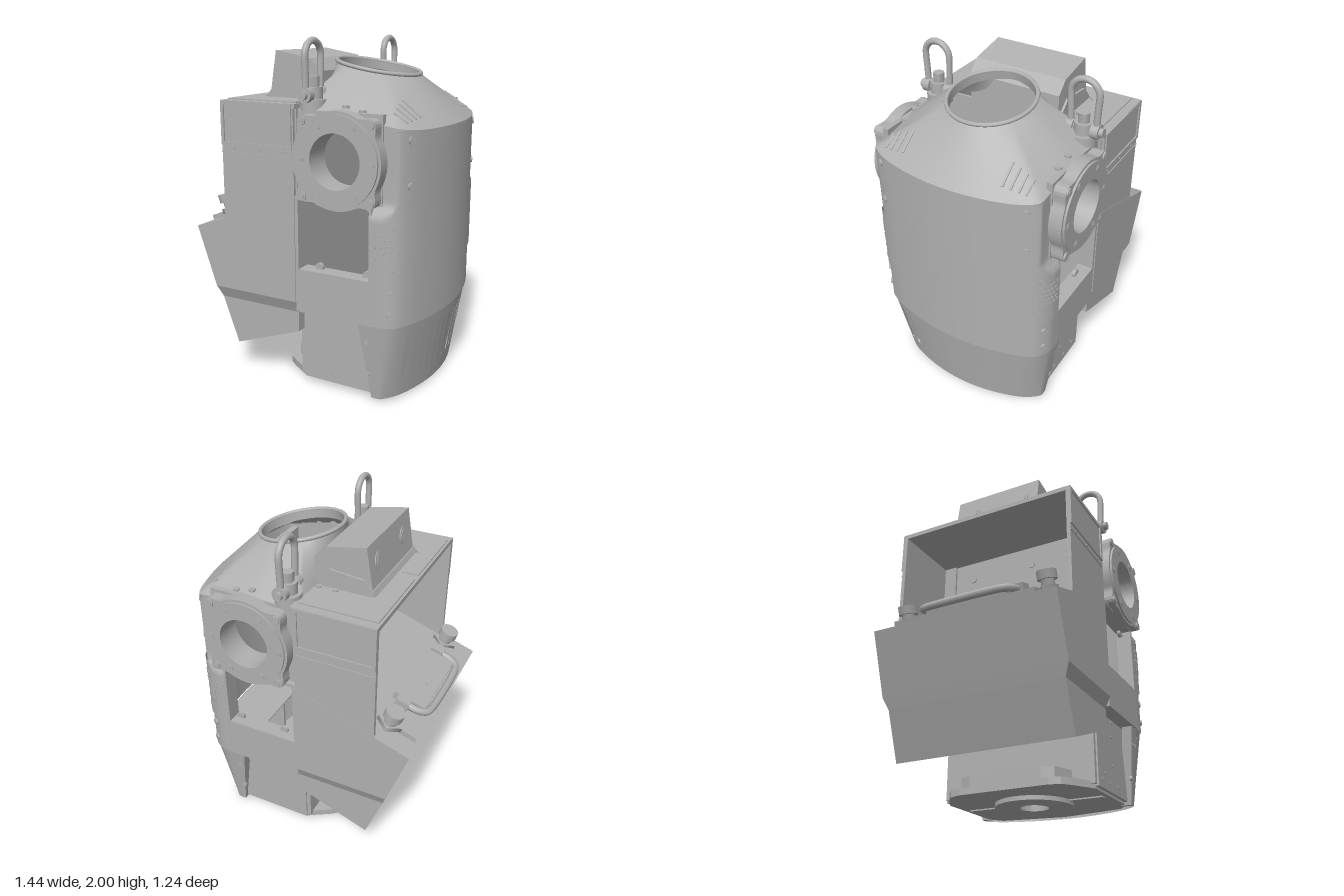
import * as THREE from 'three';
import { ConvexGeometry } from 'three/addons/geometries/ConvexGeometry.js';

const V = (x, y, z) => new THREE.Vector3(x, y, z);
const SIDES = [1, -1];

export function createModel() {
  const root = new THREE.Group();
  const shell = new THREE.MeshStandardMaterial({ name: 'shell grey', color: 0xb0b0b0, side: THREE.DoubleSide });

  const add = (name, geo, parent = root) => {
    const m = new THREE.Mesh(geo, shell);
    m.name = name;
    parent.add(m);
    return m;
  };
  const box = (name, x0, x1, y0, y1, z0, z1, parent = root) => {
    const m = add(name, new THREE.BoxGeometry(x1 - x0, y1 - y0, Math.abs(z1 - z0)), parent);
    m.position.set((x0 + x1) / 2, (y0 + y1) / 2, (z0 + z1) / 2);
    return m;
  };
  const poly = pts => new THREE.Shape(pts.map(p => new THREE.Vector2(...p)));
  const rect = (x0, x1, y0, y1) => poly([[x0, y0], [x1, y0], [x1, y1], [x0, y1]]);
  const circle = (x, y, r) => new THREE.Shape().absarc(x, y, r, 0, Math.PI * 2);
  const extrude = (shape, depth, holes) => {
    shape.holes.push(...holes);
    return new THREE.ExtrudeGeometry(shape, { depth, bevelEnabled: false, curveSegments: 40 });
  };
  // side-on outline pushed along z
  const slab = (name, shape, z0, z1, holes = []) =>
    add(name, extrude(shape, Math.abs(z1 - z0), holes).translate(0, 0, Math.min(z0, z1)));
  // plan outline (x, z) pushed along y
  const plan = (name, shape, y0, y1, holes = []) =>
    add(name, extrude(shape, y1 - y0, holes).rotateX(Math.PI / 2).translate(0, y1, 0));
  const disc = (name, p, n, r, h, parent = root, seg = 16) => {
    const m = add(name, new THREE.CylinderGeometry(r, r, h, seg), parent);
    m.position.copy(p);
    m.quaternion.setFromUnitVectors(V(0, 1, 0), n.clone().normalize());
    return m;
  };
  const screw = (p, n, r = 0.016) => {
    disc('screw', p, n, r, 0.014);
    disc('screwSocket', p.clone().addScaledVector(n, 0.006), n, r * 0.55, 0.006, root, 6);
  };
  const loft = (rows, skip = () => false) => {
    const n = rows[0].length, idx = [];
    for (let j = 0; j < rows.length - 1; j++)
      for (let i = 0; i < n - 1; i++) {
        if (skip(i, j)) continue;
        const a = j * n + i;
        idx.push(a, a + 1, a + 1 + n, a, a + 1 + n, a + n);
      }
    const g = new THREE.BufferGeometry().setFromPoints(rows.flat());
    g.setIndex(idx);
    g.computeVertexNormals();
    return g;
  };

  // chest: bowed plan section, flattened beside the arm flanges, narrowed at the skirt
  const half = [[0.44, 0.57], [0.52, 0.562], [0.585, 0.525], [0.63, 0.45], [0.67, 0.32], [0.7, 0.16]];
  const bow = new THREE.CatmullRomCurve3([
    ...half.map(([x, z]) => V(x, 0, z)), V(0.71, 0, 0),
    ...half.slice().reverse().map(([x, z]) => V(x, 0, -z))]);
  const chestPoint = (u, y, out = 0) => {
    const p = bow.getPoint(u), t = bow.getTangent(u);
    p.x += -t.z * out;
    p.z += t.x * out;
    const k = Math.max(0, (0.48 - y) / 0.46);
    const limit = 0.585 - 0.06 * THREE.MathUtils.smoothstep(y, 1.06, 1.17);
    p.z = THREE.MathUtils.clamp(p.z, -limit, limit) * (1 - 0.11 * k);
    p.x -= 0.07 * k * THREE.MathUtils.smoothstep(p.x, 0.44, 0.6);
    return p.setY(y);
  };
  const chestNormal = u => { const t = bow.getTangent(u); return V(-t.z, 0, t.x).normalize(); };
  const uAtZ = z => {
    let a = 0, b = 1;
    for (let i = 0; i < 30; i++) { const m = (a + b) / 2; if (bow.getPoint(m).z > z) a = m; else b = m; }
    return a;
  };
  const span = (a, b, n) => Array.from({ length: n + 1 }, (_, i) => a + (b - a) * i / n);
  const us = span(0, 1, 72), BASE = 1.535;
  add('chestShell', loft([0.48, 0.75, 1.06, 1.09, 1.115, 1.14, 1.17, 1.35, BASE].map(y => us.map(u => chestPoint(u, y)))));

  // slotted skirt below the chest
  const uEdge = uAtZ(0.49), cols = span(0, uEdge, 10), slots = new Set();
  for (let i = 6; i >= -6; i--) {
    cols.push(uAtZ(i * 0.075 + 0.011), uAtZ(i * 0.075 - 0.011));
    slots.add(cols.length - 2);
  }
  cols.push(...span(1 - uEdge, 1, 10));
  add('ventSkirt', loft([0.02, 0.13, 0.22, 0.31, 0.41, 0.478].map(y => cols.map(u => chestPoint(u, y, -0.006))),
    (i, j) => slots.has(i) && j > 0 && j < 4));
  add('skirtLiner', loft([0.07, 0.4].map(y => us.map(u => chestPoint(u, y, -0.035)))));
  box('skirtRib', 0.4, 0.6, 0.06, 0.47, -0.01, 0.01);
  plan('chestFloor', poly([[0.4, 0.5], ...span(0, 1, 24).map(u => chestPoint(u, 0.48, -0.01)).map(p => [p.x, p.z]), [0.4, -0.5]]), 0.472, 0.48);

  // sloping shoulders lofted from the neck ring out to the chest outline
  const CX = 0.21, RN = 0.245;
  const edge = [...us.map(u => chestPoint(u, BASE)), V(-0.04, 0, -0.527), V(-0.04, 0, 0.527)].map(p => [p.x - CX, p.z]);
  const reach = (dx, dz) => {
    let best = RN;
    edge.forEach(([px, pz], i) => {
      const [qx, qz] = edge[(i + 1) % edge.length], ex = qx - px, ez = qz - pz, den = dx * ez - dz * ex;
      const t = (px * ez - pz * ex) / den, u = (px * dz - pz * dx) / den;
      if (t > 0 && u >= -1e-6 && u <= 1 + 1e-6) best = Math.max(best, t);
    });
    return best;
  };
  const neckY = x => 1.825 - 0.18 * (x - CX);
  const shoulder = (dx, dz, t) => {
    const r = RN + (reach(dx, dz) - RN) * t, f = 1 - t * (0.72 + 0.28 * THREE.MathUtils.smoothstep(dx, 0, 0.85));
    return V(CX + dx * r, BASE + (neckY(CX + dx * RN) - BASE) * f, dz * r);
  };
  const ring = t => span(0, Math.PI * 2, 128).map(a => shoulder(Math.cos(a), -Math.sin(a), t));
  add('shoulderShell', loft(span(1, 0, 8).map(ring)));
  add('shoulderWall', loft([ring(1).map(p => p.setY(BASE)), ring(1)]));
  const neck = new THREE.Group();
  neck.name = 'neckRing';
  neck.position.set(CX, 1.825, 0);
  neck.rotation.z = -0.178;
  root.add(neck);
  add('neckLip', new THREE.TorusGeometry(0.246, 0.012, 10, 64).rotateX(Math.PI / 2).translate(0, 0.006, 0), neck);
  add('neckSleeve', new THREE.CylinderGeometry(0.235, 0.235, 0.05, 64, 1, true).translate(0, -0.02, 0), neck);
  box('neckCrossWall', 0.36, 0.4, 1.56, 1.7, -0.21, 0.21);

  // rear pack, leaning outward
  const wedge = (name, rows) => add(name, new ConvexGeometry(rows.flatMap(([x, y, z]) => [V(x, y, z), V(x, y, -z)])));
  wedge('packBody', [[-0.71, 0.89, 0.57], [-0.585, 0.53, 0.57], [-0.02, 0.53, 0.57], [-0.02, 1.13, 0.57]]);
  wedge('packChamfer', [[-0.585, 0.53, 0.57], [-0.02, 0.53, 0.57], [-0.56, 0.46, 0.54], [-0.02, 0.46, 0.54]]);
  wedge('packFoot', [[-0.56, 0.46, 0.54], [-0.02, 0.46, 0.54], [-0.455, 0.18, 0.54], [-0.02, 0.34, 0.54]]);
  box('spineWall', -0.045, -0.015, 0.05, 1.64, -0.47, 0.47);
  box('roof', -0.5, -0.01, 1.625, 1.652, -0.57, 0.57);
  for (const z of [-0.33, 0.1, 0.36]) disc('wallPort', V(-0.047, 1.5, z), V(-1, 0, 0), 0.025, 0.006);

  // lid with latch plate, handle and knobs
  const lid = new THREE.Group();
  lid.name = 'packLid';
  lid.position.set(-0.71, 0.89, 0);
  lid.rotation.z = 0.335;
  root.add(lid);
  box('lidPlate', 0.02, 0.4, 0, 0.03, -0.44, 0.44, lid);
  box('latchPlate', 0.065, 0.26, 0.03, 0.08, -0.25, 0.25, lid);
  box('latchSlot', 0.12, 0.14, 0.08, 0.086, -0.06, 0.06, lid);
  const grip = [[0.2, 0.28], [0.1, 0.28], [0.05, 0.25], [0.037, 0.2]];
  const gripPath = new THREE.CatmullRomCurve3([...grip, ...grip.slice().reverse().map(([x, z]) => [x, -z])].map(([x, z]) => V(x, 0.07, z)));
  add('handle', new THREE.TubeGeometry(gripPath, 60, 0.022, 8), lid);
  for (const s of SIDES) {
    box('handleHinge', 0.15, 0.23, 0.02, 0.1, s * 0.25, s * 0.32, lid);
    const foot = disc('knobFoot', V(0.19, 0.035, s * 0.45), V(0, 1, 0), 0.075, 0.03, lid, 4);
    foot.scale.z = 0.8;
    disc('knobStem', V(0.19, 0.07, s * 0.45), V(0, 1, 0), 0.038, 0.08, lid);
    disc('knob', V(0.19, 0.112, s * 0.45), V(0, 1, 0), 0.056, 0.05, lid, 20);
  }

  // camera housing on the roof
  slab('housing', poly([[-0.355, 1.65], [-0.31, 1.92], [-0.08, 1.88], [-0.01, 1.81], [-0.01, 1.65]]), -0.287, 0.287);
  slab('housingSkirt', poly([[-0.37, 1.65], [-0.355, 1.68], [-0.3, 1.74], [-0.1, 1.76], [-0.03, 1.7], [-0.03, 1.65]]), -0.3, 0.3);
  const back = V(-0.985, 0.165, 0);
  for (const s of SIDES) {
    const p = V(-0.33, 1.805, s * 0.17);
    disc('lensRim', p, back, 0.05, 0.008, root, 32);
    disc('lens', p.clone().addScaledVector(back, 0.004), back, 0.035, 0.006, root, 32);
  }

  // base with turning ring
  const hole = () => circle(0.17, 0, 0.085);
  plan('baseRing', circle(0.17, 0, 0.23), 0, 0.03, [hole()]);
  plan('basePlate', poly([[-0.22, -0.27], [-0.2, -0.34], [-0.15, -0.38], [-0.02, -0.46], [0.45, -0.46], [0.53, -0.4], [0.6, 0],
    [0.53, 0.4], [0.45, 0.46], [-0.02, 0.46], [-0.15, 0.38], [-0.2, 0.34], [-0.22, 0.27]]), 0.025, 0.065, [hole()]);
  plan('baseHub', circle(0.17, 0, 0.19), 0.06, 0.08, [hole()]);
  plan('baseNose', poly([[-0.2, -0.22], [-0.17, -0.29], [-0.03, -0.34], [-0.03, 0.34], [-0.17, 0.29], [-0.2, 0.22]]), 0.06, 0.135);
  for (let i = 0; i < 8; i++) {
    const a = i * Math.PI / 4, x = 0.17 + 0.115 * Math.cos(a), z = 0.115 * Math.sin(a);
    disc('ringBolt', V(x, 0.081, z), V(0, 1, 0), 0.01, 0.004);
  }

  for (const s of SIDES) {
    const N = V(0, 0, s), at = (x, y, z) => V(x, y, s * z), mu = u => (s > 0 ? u : 1 - u);

    // side frame with window, shoulder plate, lower panel and base rail
    slab('windowFrame', rect(-0.02, 0.455, 0.475, 1.15), s * 0.47, s * 0.565, [rect(0, 0.44, 0.73, 1.13)]);
    slab('shoulderPlate', rect(-0.02, 0.5, 1.13, 1.62), s * 0.5, s * 0.535, [circle(0.26, 1.37, 0.16)]);
    box('lowerPanel', -0.02, 0.44, 0.04, 0.48, s * 0.455, s * 0.48);
    box('baseRail', 0.15, 0.19, 0.017, 0.03, s * 0.22, s * 0.43);
    add('skirtEnd', new ConvexGeometry([0.44, 0.5].flatMap(z => [at(0.37, 0.475, z + 0.055), at(0.455, 0.475, z + 0.055),
      at(0.43, 0.02, z), at(0.455, 0.02, z)])));
    for (const [x, y] of [[0.1, 0.74], [0.4, 0.74], [0.1, 1.12], [0.42, 1.12]]) disc('windowTab', at(x, y, 0.5), N, 0.025, 0.02);
    for (const [x, y] of [[0.05, 0.46], [0.22, 0.46], [0.21, 0.37], [0.21, 0.2], [0.07, 0.13], [0.04, 0.09], [0.16, 0.09], [0.28, 0.09]])
      disc('panelRivet', at(x, y, 0.481), N, 0.01, 0.004);
    for (const y of [0.17, 0.37]) screw(at(0.415, y, 0.5 + 0.1 * y), N);

    // arm flange with lugs
    const flange = poly(span(0, Math.PI * 2, 120).slice(0, -1).map(a => {
      const r = 0.265 + 0.05 * Math.max(0, Math.cos(4 * (a - Math.PI / 4))) ** 4;
      return [0.26 + r * Math.cos(a), 1.37 + r * Math.sin(a)];
    }));
    slab('armFlange', flange, s * 0.53, s * 0.605, [circle(0.26, 1.37, 0.15)]);
    slab('flangeFace', circle(0.26, 1.37, 0.25), s * 0.6, s * 0.617, [circle(0.26, 1.37, 0.15)]);
    add('armSleeve', new THREE.CylinderGeometry(0.151, 0.151, 0.15, 40, 1, true).rotateX(Math.PI / 2).translate(0.26, 1.37, s * 0.53));
    for (let i = 0; i < 4; i++) {
      const a = Math.PI / 4 + i * Math.PI / 2;
      screw(at(0.26 + 0.287 * Math.cos(a), 1.37 + 0.287 * Math.sin(a), 0.607), N, 0.025);
    }
    for (let i = 0; i < 6; i++) {
      const a = i * Math.PI / 3;
      screw(at(0.26 + 0.21 * Math.cos(a), 1.37 + 0.21 * Math.sin(a), 0.613), N, 0.022);
    }

    // cheek wall beside the rear cavity, with framed panel and roof plate
    slab('cheek', rect(-0.5, -0.02, 0.93, 1.65), s * 0.545, s * 0.568);
    slab('cheekFrame', rect(-0.5, -0.03, 1.4, 1.65), s * 0.567, s * 0.576, [rect(-0.48, -0.05, 1.42, 1.63)]);
    box('cheekRail', -0.5, -0.03, 1.355, 1.362, s * 0.566, s * 0.573);
    for (const x of [-0.42, -0.26, -0.1]) disc('cheekScrew', at(x, 1.383, 0.569), N, 0.009, 0.006);
    box('cheekCorner', -0.06, -0.01, 0.53, 1.64, s * 0.46, s * 0.55);
    plan('roofPlate', poly([[-0.485, 0.025], [-0.39, 0.025], [-0.39, 0.28], [-0.33, 0.345], [-0.03, 0.345], [-0.03, 0.52], [-0.485, 0.52]]
      .map(([x, z]) => [x, s * z])), 1.65, 1.659);
    for (const x of [-0.15, -0.05]) screw(at(x, 1.655, 0.32), V(0, 1, 0));

    // raised corner panel on the chest, vent studs and screws
    const pu = span(mu(0.02), mu(uAtZ(0.28)), 32);
    add('cornerPanel', loft([0.735, 1.06, 1.09, 1.115, 1.13].map(y => pu.map(u => chestPoint(u, y, 0.008)))));
    for (let r = 0; r < 5; r++)
      for (let c = 0; c < 5 - r % 2; c++) {
        const u = mu(0.035 + 0.03 * (c + (r % 2) / 2));
        disc('ventStud', chestPoint(u, 0.87 + r * 0.032, 0.008), chestNormal(u), 0.014, 0.006, root, 6);
      }
    for (const [z, y] of [[0.46, 1.49], [0.46, 1.25], [0.53, 1.04], [0.53, 0.8], [0.545, 0.67], [0.545, 0.55]]) {
      const u = mu(uAtZ(z));
      screw(chestPoint(u, y, 0.003), chestNormal(u), 0.02);
    }

    // shoulder vents and screws
    const top = (x, z) => {
      const dx = x - CX, r = Math.hypot(dx, z), t = (r - RN) / (reach(dx / r, z / r) - RN);
      return shoulder(dx / r, z / r, t);
    };
    for (const [i, z] of [0.31, 0.355, 0.4, 0.44].entries()) {
      const a = top(0.5 + i * 0.005, s * z), b = top(0.61 - i * 0.005, s * z);
      const slot = add('shoulderVent', new THREE.BoxGeometry(0.012, 0.008, a.distanceTo(b)));
      slot.position.copy(a).lerp(b, 0.5).y += 0.002;
      slot.lookAt(b.clone().setY(b.y + 0.002));
    }
    for (const x of [0.26, 0.36]) screw(top(x, s * 0.49).add(V(0, 0.006, 0)), V(0, 1, 0), 0.02);

    // lifting shackle
    const loop = [V(0.05, 1.69, s * 0.47 - 0.075), V(0.05, 1.8, s * 0.47 - 0.078),
      ...span(Math.PI, 0, 12).map(a => V(0.05, 1.9 + 0.082 * Math.sin(a), s * 0.47 + 0.082 * Math.cos(a))),
      V(0.05, 1.8, s * 0.47 + 0.078), V(0.05, 1.69, s * 0.47 + 0.075)];
    add('shackle', new THREE.TubeGeometry(new THREE.CatmullRomCurve3(loop), 60, 0.019, 10));
    disc('shacklePin', at(0.05, 1.7, 0.475), N, 0.025, 0.23);
    for (const z of [0.395, 0.545]) disc('shackleEye', at(0.05, 1.7, z), N, 0.042, 0.045, root, 20);
    disc('shackleBase', at(0.05, 1.645, 0.47), V(0, 1, 0), 0.075, 0.06, root, 24);
    disc('shackleCollar', at(0.05, 1.7, 0.47), V(0, 1, 0), 0.052, 0.08, root, 24);
    disc('shackleBolt', at(0.05, 1.765, 0.47), V(0, 1, 0), 0.035, 0.06, root, 6);
  }
  return root;
}
